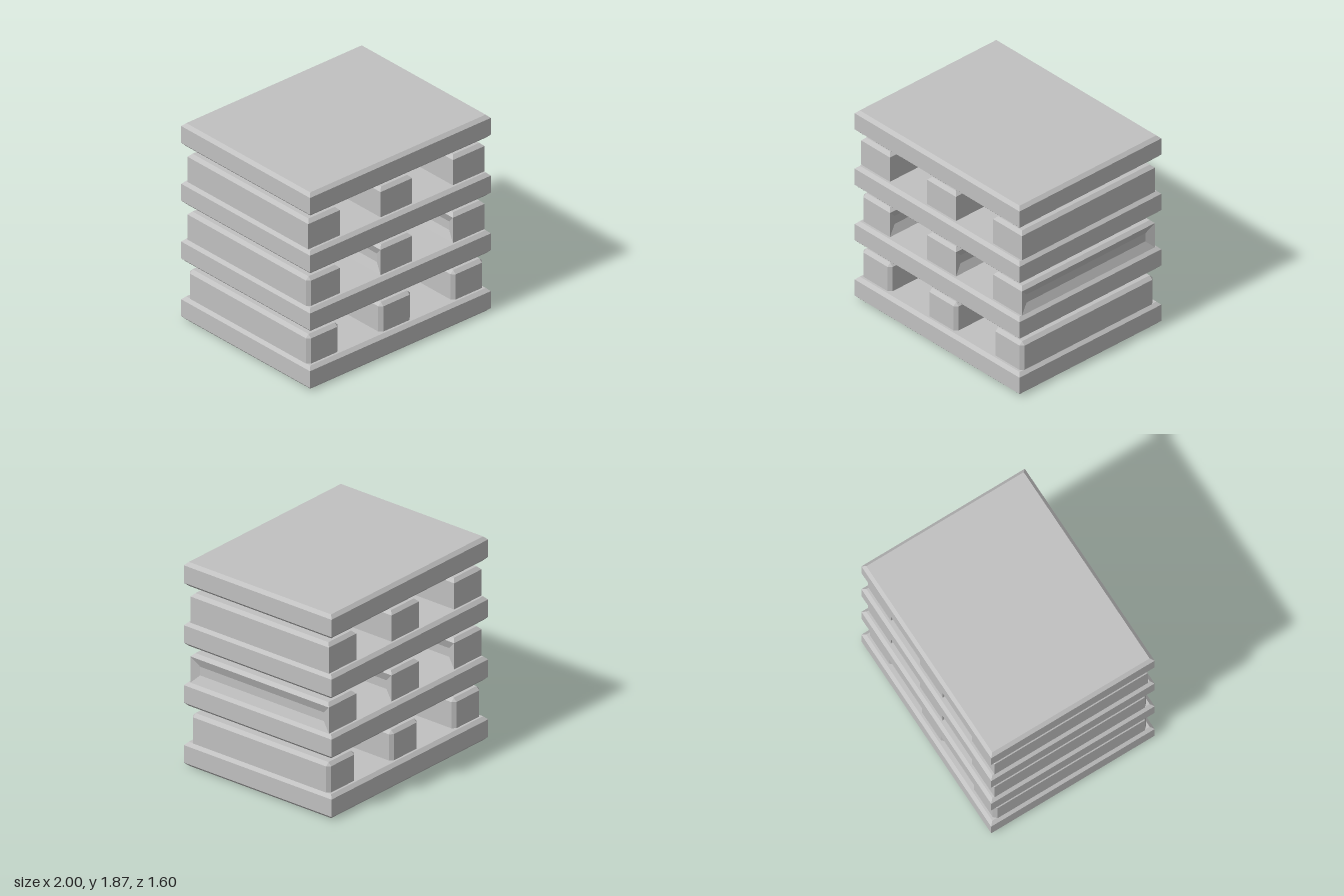
import * as THREE from 'three';

const BEVEL = 0.03;
const CORNERS = [[-1, 1], [1, 1], [1, -1], [-1, -1]];

// Rectangular outline, two points per corner; c holds the cut of each corner.
function ring(w, d, y, c = [0, 0, 0, 0]) {
  return CORNERS.flatMap(([sx, sz], k) => {
    const a = new THREE.Vector3(sx * w, y, sz * (d - c[k]));
    const b = new THREE.Vector3(sx * (w - c[k]), y, sz * d);
    return k % 2 ? [b, a] : [a, b];
  });
}

// Joins outlines into a closed, hard-edged solid. Sides in `recessed`
// (1 = +x, 3 = -x) get a shallow sunken panel on their tall wall.
function loft(rings, recessed = []) {
  const pos = [];
  const tri = (a, b, c) => {
    if (a.equals(b) || b.equals(c) || c.equals(a)) return;
    for (const p of [a, b, c]) pos.push(p.x, p.y, p.z);
  };
  const quad = (a, b, c, d) => { tri(a, b, c); tri(a, c, d); };

  for (let r = 0; r < rings.length - 1; r++) {
    const lo = rings[r], hi = rings[r + 1];
    for (let i = 0; i < 8; i++) {
      const j = (i + 1) % 8;
      const wall = [lo[i], lo[j], hi[j], hi[i]];
      if (r === 0 && i % 2 && recessed.includes((i - 1) / 2)) {
        const midY = (lo[i].y + hi[i].y) / 2;
        const inner = wall.map(p => new THREE.Vector3(
          p.x - Math.sign(p.x) * 0.03,
          p.y + Math.sign(midY - p.y) * 0.08,
          p.z - Math.sign(p.z) * 0.08));
        for (let k = 0; k < 4; k++) {
          const n = (k + 1) % 4;
          quad(wall[k], wall[n], inner[n], inner[k]);
        }
        quad(...inner);
      } else quad(...wall);
    }
  }
  const bottom = rings[0], top = rings[rings.length - 1];
  for (let i = 1; i < 7; i++) {
    tri(top[0], top[i], top[i + 1]);
    tri(bottom[0], bottom[i + 1], bottom[i]);
  }
  const g = new THREE.BufferGeometry();
  g.setAttribute('position', new THREE.Float32BufferAttribute(pos, 3));
  g.computeVertexNormals();
  return g;
}

// Wide slab, bevelled along its top and bottom edges
function slabGeometry() {
  const w = 1, d = 0.8, h = 0.22;
  return loft([
    ring(w - BEVEL, d - BEVEL, 0),
    ring(w, d, BEVEL),
    ring(w, d, h - BEVEL),
    ring(w - BEVEL, d - BEVEL, h),
  ]);
}

// Long spacer block, bevelled on top, with optional cut corners
function blockGeometry(cuts, recessed) {
  const w = 0.175, d = 0.75, h = 0.27;
  return loft([
    ring(w, d, 0, cuts),
    ring(w, d, h - BEVEL, cuts),
    ring(w - BEVEL, d - BEVEL, h),
  ], recessed);
}

export function createModel() {
  const model = new THREE.Group();
  model.name = 'stackedSlabs';
  const grey = new THREE.MeshStandardMaterial({ color: 0xc0c0c0 });
  grey.name = 'grey';

  const add = (name, geometry, x, y) => {
    const mesh = new THREE.Mesh(geometry, grey);
    mesh.name = name;
    mesh.position.set(x, y, 0);
    model.add(mesh);
  };

  const PITCH = 0.55;
  const slab = slabGeometry();
  for (let level = 0; level < 4; level++) add('slab' + (level + 1), slab, 0, level * PITCH);

  // Per tier: right, middle and left block
  const none = [0, 0, 0, 0], all = [BEVEL, BEVEL, BEVEL, BEVEL];
  const cutPlain = blockGeometry(all, []);
  const plain = blockGeometry(none, []);
  const sunken = blockGeometry(none, [1, 3]);
  const sunkenOneSide = blockGeometry([BEVEL, 0, 0, 0], [1]);
  const tiers = [
    [cutPlain, cutPlain, cutPlain],
    [sunkenOneSide, sunken, sunken],
    [plain, plain, plain],
  ];
  const names = ['rightBlock', 'middleBlock', 'leftBlock'];
  tiers.forEach((tier, t) => tier.forEach((geometry, i) =>
    add(names[i] + (t + 1), geometry, (i - 1) * 0.8, t * PITCH + 0.22)));

  return model;
}
